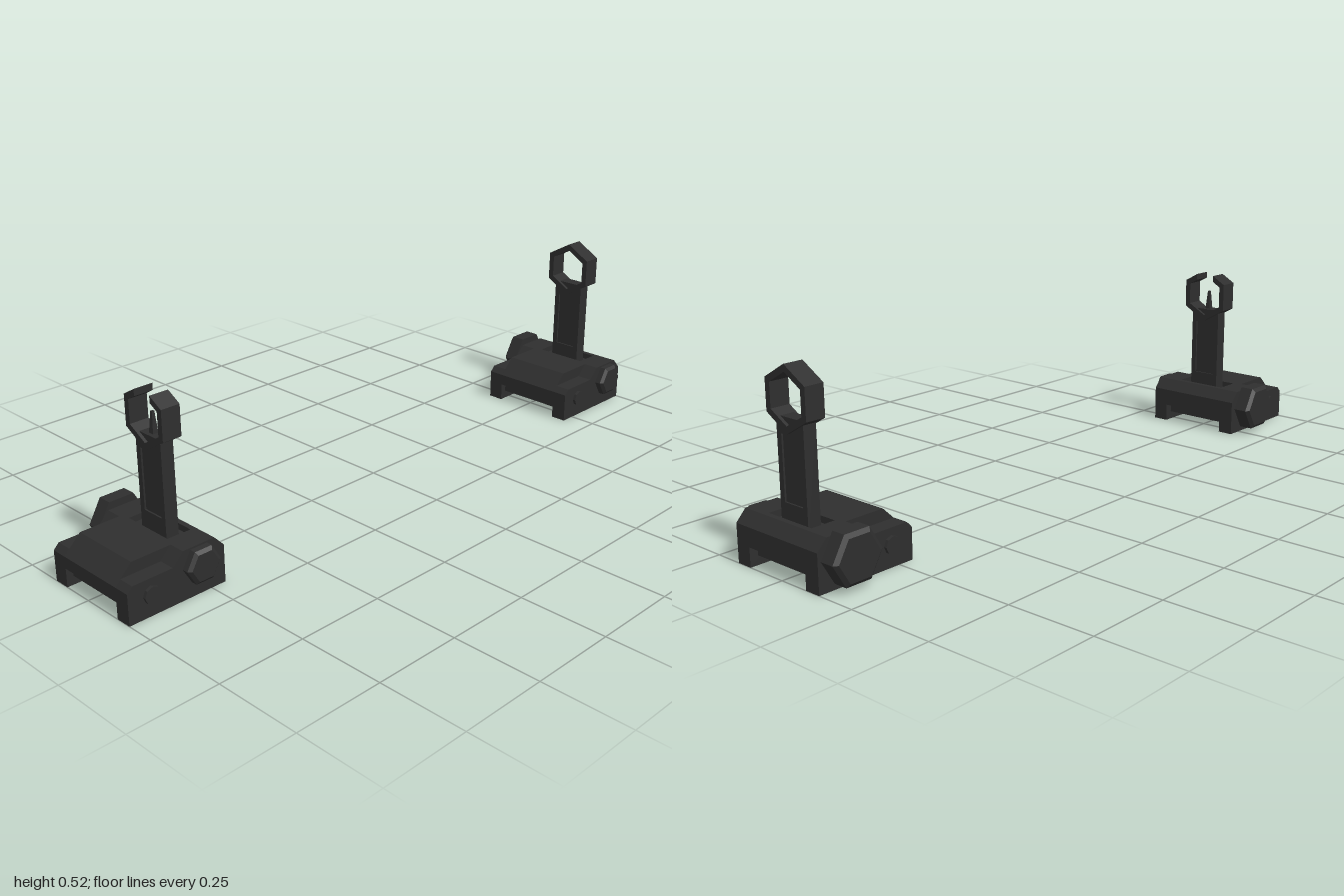
import * as THREE from 'three';

const gunmetal = new THREE.MeshStandardMaterial({ color: 0x2e2e2e });
gunmetal.name = 'charcoal';

const CX = 0.016;   // centre line of each sight
const PZ = 0.784;   // hinge axis
const PY = 0.086;

function part(parent, name, geometry) {
  const geo = geometry.index ? geometry.toNonIndexed() : geometry;
  geo.computeVertexNormals();
  const mesh = new THREE.Mesh(geo, gunmetal);
  mesh.name = name;
  parent.add(mesh);
  return mesh;
}

const toShape = (pts) => new THREE.Shape(pts.map(([x, y]) => new THREE.Vector2(x, y)));

// Side profile of [z, y] points, swept from x0 to x1
function sweepX(pts, x0, x1) {
  return new THREE.ExtrudeGeometry(toShape(pts), { depth: x1 - x0, bevelEnabled: false })
    .rotateY(-Math.PI / 2).translate(x1, 0, 0);
}

// Front outline of [x, y] points, swept from z0 to z1
function sweepZ(shape, z0, z1) {
  return new THREE.ExtrudeGeometry(shape, { depth: z1 - z0, bevelEnabled: false }).translate(0, 0, z0);
}

function boxBetween(x0, x1, y0, y1, z0, z1) {
  return new THREE.BoxGeometry(x1 - x0, y1 - y0, z1 - z0)
    .translate((x0 + x1) / 2, (y0 + y1) / 2, (z0 + z1) / 2);
}

// Turned part along x from [radius, x] points
function turned(pts, sides, y, z) {
  return new THREE.LatheGeometry(pts.map(([r, x]) => new THREE.Vector2(r, x)), sides)
    .rotateZ(-Math.PI / 2).translate(0, y, z);
}

// Pointed-top hexagon corners, counter-clockwise from the top
function hexagon(r, cy) {
  return Array.from({ length: 6 }, (_, i) => {
    const a = Math.PI / 2 + i * Math.PI / 3;
    return [CX + r * Math.cos(a), cy + r * Math.sin(a)];
  });
}

function createBase(parent) {
  const base = new THREE.Group();
  base.name = 'base';
  parent.add(base);

  // Middle block with rail channel below and hinge slot above
  part(base, 'middleBlock', sweepX([
    [0.706, 0.053], [0.73, 0.053], [0.73, 0.025], [0.98, 0.025], [0.98, 0.053], [1, 0.053],
    [1, 0.087], [0.95, 0.136], [0.82, 0.136], [0.82, 0.118], [0.75, 0.118], [0.75, 0.136],
    [0.735, 0.136], [0.706, 0.105],
  ], -0.09, 0.122));
  part(base, 'slotCheekRight', boxBetween(-0.09, -0.065, 0.11, 0.136, 0.75, 0.82));
  part(base, 'slotCheekLeft', boxBetween(0.095, 0.122, 0.11, 0.136, 0.75, 0.82));

  // Stepped side blocks that run down into the rail feet
  const sideProfile = [
    [0.706, 0], [1, 0], [1, 0.087], [0.984, 0.103], [0.865, 0.103],
    [0.832, 0.136], [0.735, 0.136], [0.706, 0.105],
  ];
  part(base, 'sideBlockRight', sweepX(sideProfile, -0.137, -0.09));
  part(base, 'sideBlockLeft', sweepX(sideProfile, 0.122, 0.169));

  // Cross pin
  part(base, 'crossPin', turned([[0, -0.146], [0.024, -0.146], [0.024, 0.178], [0, 0.178]], 8, 0.06, 0.932));

  // Clamp knob and hinge nut
  part(base, 'knobCollar', turned([[0, -0.15], [0.052, -0.15], [0.052, -0.13], [0, -0.13]], 6, PY, PZ));
  part(base, 'clampKnob', turned([
    [0, -0.196], [0.064, -0.196], [0.076, -0.187], [0.076, -0.146], [0, -0.146],
  ], 6, PY, PZ));
  part(base, 'hingeNut', turned([
    [0, 0.165], [0.052, 0.165], [0.052, 0.187], [0.042, 0.195], [0, 0.195],
  ], 6, PY, PZ));
}

function createUpright(parent, openTop) {
  const upright = new THREE.Group();
  upright.name = 'upright';
  parent.add(upright);

  // Stem frame around a shallow sunken panel
  const frame = toShape([[-0.034, 0.1], [0.066, 0.1], [0.066, 0.386], [-0.034, 0.386]]);
  frame.holes.push(toShape([[-0.018, 0.17], [-0.018, 0.342], [0.05, 0.342], [0.05, 0.17]]));
  part(upright, 'stemFrame', sweepZ(frame, PZ - 0.019, PZ + 0.019));
  part(upright, 'stemPanel', boxBetween(-0.02, 0.052, 0.165, 0.345, PZ - 0.014, PZ + 0.014));

  // Hexagonal ring, closed or with a gap at the top
  const cy = 0.433;
  const outer = hexagon(0.085, cy);
  const inner = hexagon(0.066, cy);
  let ring;
  if (openTop) {
    const gap = 0.031;
    const drop = gap * Math.tan(Math.PI / 6);
    const yOut = cy + 0.085 - drop;
    const yIn = cy + 0.066 - drop;
    ring = toShape([
      [CX - gap, yOut], ...outer.slice(1), [CX + gap, yOut],
      [CX + gap, yIn], ...inner.slice(1).reverse(), [CX - gap, yIn],
    ]);
  } else {
    ring = toShape(outer);
    ring.holes.push(toShape(inner.reverse()));
  }
  part(upright, 'hexRing', sweepZ(ring, PZ - 0.028, PZ + 0.028));

  // Tapered aiming post
  if (openTop) {
    const post = new THREE.CylinderGeometry(0.005, 0.012, 0.063, 4)
      .rotateY(Math.PI / 4).translate(CX, 0.4125, PZ);
    part(upright, 'aimingPost', post);
  }
}

function createSight(name, z, openTop) {
  const sight = new THREE.Group();
  sight.name = name;
  createBase(sight);
  createUpright(sight, openTop);
  sight.position.z = z;
  return sight;
}

export function createModel() {
  const model = new THREE.Group();
  model.name = 'foldingSights';
  model.add(createSight('frontSight', 0, true));
  model.add(createSight('rearSight', -1.706, false));
  return model;
}
